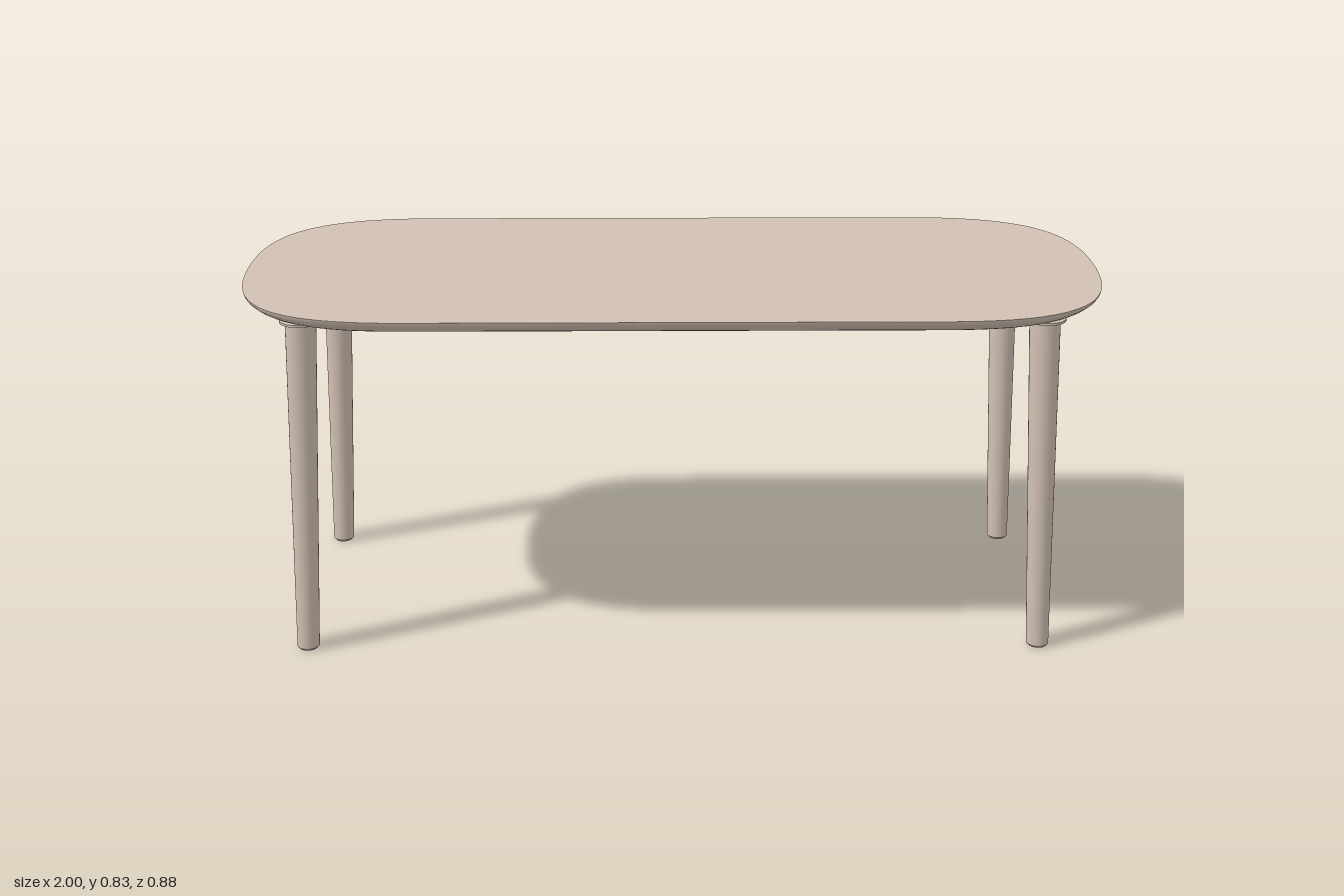
import * as THREE from 'three';

const wood = new THREE.MeshStandardMaterial({ color: 0xd2c1b3 });
wood.name = 'pale wood';

// Rounded outline of the top, counter-clockwise seen from above (y stands for -z)
function outline() {
  const s = new THREE.Shape();
  s.moveTo(1, 0);
  s.bezierCurveTo(1, 0.28, 0.92, 0.44, 0.6, 0.44);
  s.lineTo(-0.6, 0.44);
  s.bezierCurveTo(-0.92, 0.44, -1, 0.28, -1, 0);
  s.bezierCurveTo(-1, -0.28, -0.92, -0.44, -0.6, -0.44);
  s.lineTo(0.6, -0.44);
  s.bezierCurveTo(0.92, -0.44, 1, -0.28, 1, 0);
  const pts = s.getPoints(24);
  if (pts[0].distanceTo(pts[pts.length - 1]) < 1e-6) pts.pop();
  return pts;
}

// Slab with a curved under-bevel: outline loops inset at each profile level
function topGeometry() {
  const pts = outline(), n = pts.length;
  // [inset, height] from the underside up
  const profile = [[0.043, 0.802], [0.03, 0.807], [0.016, 0.815], [0.006, 0.823], [0.001, 0.83], [0, 0.835]];
  const pos = [], idx = [];
  const addLoop = ([inset, y]) => {
    const start = pos.length / 3;
    pts.forEach((p, i) => {
      const t = pts[(i + 1) % n].clone().sub(pts[(i + n - 1) % n]).normalize();
      pos.push(p.x - t.y * inset, y, -(p.y + t.x * inset));
    });
    return start;
  };

  // Bevelled edge
  const loops = profile.map(addLoop);
  for (let k = 0; k < loops.length - 1; k++) {
    for (let i = 0; i < n; i++) {
      const j = (i + 1) % n, a = loops[k], b = loops[k + 1];
      idx.push(a + i, a + j, b + j, a + i, b + j, b + i);
    }
  }

  // Flat upper and lower faces, with their own corners to keep the rims sharp
  for (const level of [profile[0], profile[profile.length - 1]]) {
    const start = addLoop(level), centre = pos.length / 3;
    pos.push(0, level[1], 0);
    for (let i = 0; i < n; i++) {
      const a = start + i, b = start + (i + 1) % n;
      if (level === profile[0]) idx.push(centre, b, a);
      else idx.push(centre, a, b);
    }
  }

  const g = new THREE.BufferGeometry();
  g.setAttribute('position', new THREE.Float32BufferAttribute(pos, 3));
  g.setIndex(idx);
  g.computeVertexNormals();
  return g;
}

// Tapered round section, sheared so the leg splays while both ends stay level
function legSection(r1, r0, y0, y1, sx, sz) {
  const g = new THREE.CylinderGeometry(r1, r0, y1 - y0, 32);
  g.translate(0, (y0 + y1) / 2, 0);
  const p = g.attributes.position;
  for (let i = 0; i < p.count; i++) {
    const t = p.getY(i) / 0.802;
    p.setX(i, p.getX(i) + sx * THREE.MathUtils.lerp(0.859, 0.834, t));
    p.setZ(i, p.getZ(i) + sz * THREE.MathUtils.lerp(0.324, 0.308, t));
  }
  return g;
}

export function createModel() {
  const table = new THREE.Group();
  table.name = 'table';
  const add = (parent, name, geometry) => {
    const m = new THREE.Mesh(geometry, wood);
    m.name = name;
    parent.add(m);
  };

  add(table, 'tableTop', topGeometry());

  for (const sx of [1, -1]) {
    for (const sz of [1, -1]) {
      const leg = new THREE.Group();
      leg.name = (sz > 0 ? 'front' : 'back') + (sx > 0 ? 'Left' : 'Right') + 'Leg';
      add(leg, 'legShaft', legSection(0.035, 0.026, 0.006, 0.802, sx, sz));
      add(leg, 'footChamfer', legSection(0.026, 0.021, 0, 0.006, sx, sz));
      add(leg, 'mountingDisc', legSection(0.047, 0.047, 0.798, 0.803, sx, sz));
      table.add(leg);
    }
  }
  return table;
}
